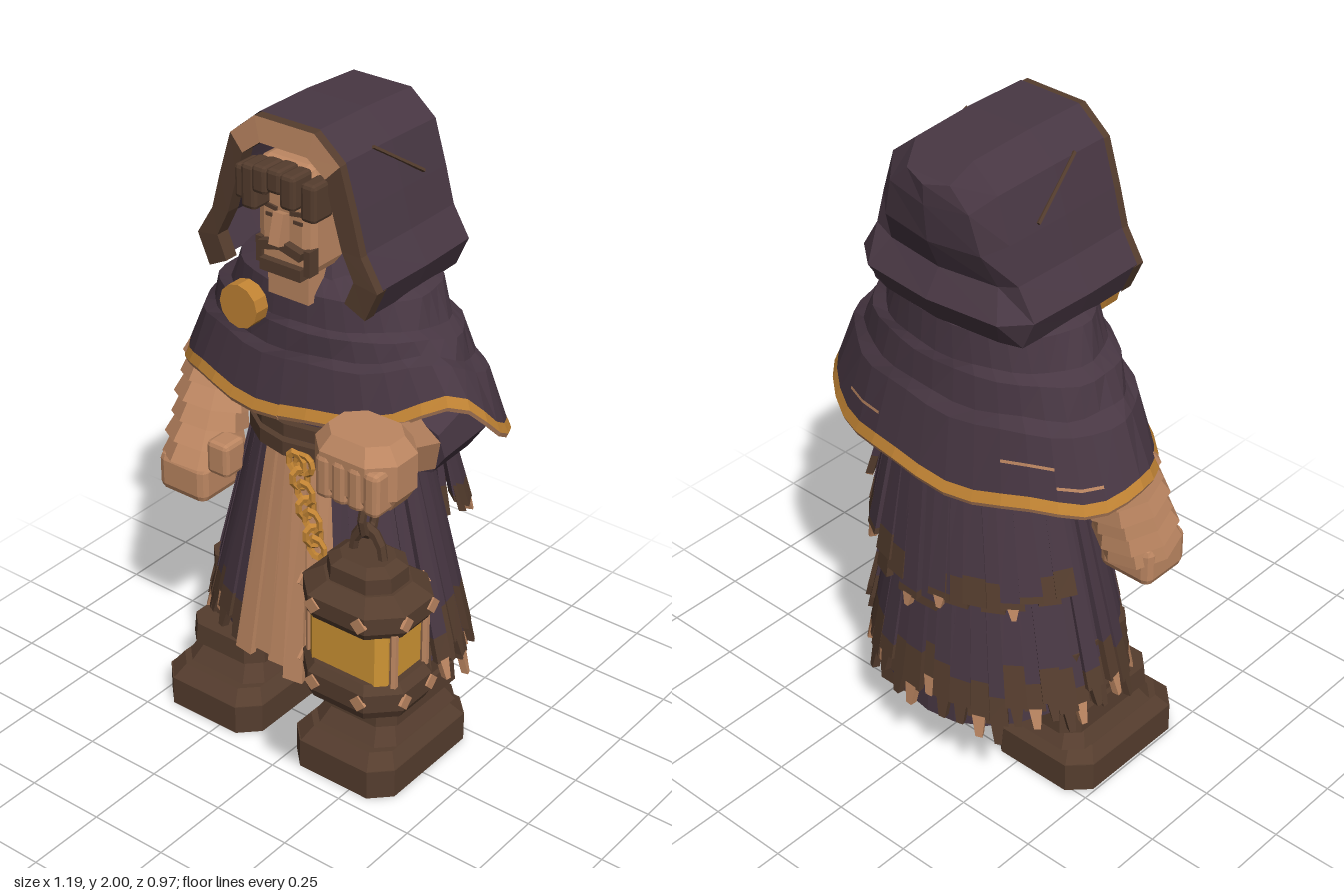
import * as THREE from 'three';
import { mergeGeometries } from 'three/addons/utils/BufferGeometryUtils.js';
import { RoundedBoxGeometry } from 'three/addons/geometries/RoundedBoxGeometry.js';

const mat = (name, color) => new THREE.MeshStandardMaterial({ name, color, flatShading: true, side: THREE.DoubleSide });
const lerp = THREE.MathUtils.lerp;
const CX = -0.055, CZ = -0.14; // body axis

// faceted surface from rows of points: f(i, j) -> [x, y, z]
function grid(rows, cols, f) {
  const pos = [], idx = [];
  for (let i = 0; i <= rows; i++) for (let j = 0; j <= cols; j++) pos.push(...f(i, j));
  for (let i = 0; i < rows; i++) for (let j = 0; j < cols; j++) {
    const a = i * (cols + 1) + j, c = a + cols + 1;
    idx.push(a, c, a + 1, a + 1, c, c + 1);
  }
  const g = new THREE.BufferGeometry();
  g.setAttribute('position', new THREE.Float32BufferAttribute(pos, 3));
  g.setIndex(idx);
  const flat = g.toNonIndexed();
  flat.computeVertexNormals();
  return flat;
}

export function createModel() {
  const model = new THREE.Group();
  const cloth = mat('plumCloth', 0x483743), leather = mat('brownLeather', 0x553d2e), tan = mat('tanSkin', 0xbd8762);
  const gold = mat('gold', 0xc28434), glass = mat('amberGlass', 0xcf9534);
  let seed = 7;
  const rnd = () => (seed = (seed * 16807) % 2147483647) / 2147483647;

  const add = (name, geo, m, x = 0, y = 0, z = 0) => {
    const mesh = new THREE.Mesh(geo, m);
    mesh.name = name;
    mesh.position.set(x, y, z);
    model.add(mesh);
    return mesh;
  };
  const box = (name, m, x, y, z, w, h, d) => add(name, new THREE.BoxGeometry(w, h, d), m, x, y, z);
  const soft = (name, m, x, y, z, w, h, d, r) => add(name, new RoundedBoxGeometry(w, h, d, 1, r), m, x, y, z);
  // chamfered block with half sizes hx, hz at its bottom, tapering upwards
  const octa = (name, m, x, z, y0, y1, hx, hz, taper = 1, cut = 0.45) => {
    const c = cut * hx, u = hx - c, v = hz - c;
    const ring = [[u, hz], [hx, v], [hx, -v], [u, -hz], [-u, -hz], [-hx, -v], [-hx, v], [-u, hz], [u, hz]];
    return add(name, grid(3, 8, (i, j) => {
      const s = [0, taper, 1, 0][i];
      return [ring[j][0] * s, i < 2 ? y1 : y0, ring[j][1] * s];
    }), m, x, 0, z);
  };
  // tapered limb between two points
  const limb = (name, m, p, q, r0, r1, sides = 8) => {
    const a = new THREE.Vector3(...p), b = new THREE.Vector3(...q), d = b.clone().sub(a);
    const mesh = add(name, new THREE.CylinderGeometry(r1, r0, d.length(), sides), m);
    mesh.position.copy(a).addScaledVector(d, 0.5);
    mesh.quaternion.setFromUnitVectors(new THREE.Vector3(0, 1, 0), d.normalize());
    return mesh;
  };

  // boots
  for (const s of [1, -1]) {
    const x = -0.06 + s * 0.25;
    octa('sole', leather, x, -0.033, 0, 0.095, 0.183, 0.233, 1, 0.32);
    octa('bootFoot', leather, x, -0.033, 0.095, 0.135, 0.18, 0.23, 0.84, 0.32);
    octa('bootAnkle', leather, x, -0.06, 0.135, 0.2, 0.148, 0.195, 0.76, 0.32);
    octa('bootCuff', leather, x, -0.07, 0.2, 0.265, 0.14, 0.19, 0.97, 0.32);
    octa('bootShaft', leather, x + s * 0.005, -0.11, 0.265, 0.48, 0.115, 0.145, 1, 0.32);
  }

  // torso, belts and underskirt
  const ring = (name, m, y0, y1, rx, rz, taper = 1) =>
    add(name, new THREE.CylinderGeometry(taper, 1, y1 - y0, 16).scale(rx, 1, rz), m, CX, (y0 + y1) / 2, CZ);
  ring('torso', cloth, 0.93, 1.5, 0.24, 0.24, 0.85);
  ring('upperBelt', leather, 1.06, 1.1, 0.25, 0.255);
  ring('lowerBelt', leather, 1.0, 1.045, 0.258, 0.26);
  const under = [[1.0, 0.23, 0.225], [0.65, 0.31, 0.27], [0.33, 0.38, 0.3], [0.45, 0, 0]];
  add('underskirt', grid(3, 24, (i, j) => {
    const a = j / 24 * Math.PI * 2, [y, rx, rz] = under[i];
    const sag = i === 2 ? 0.065 * (1 - Math.cos(a)) * Math.abs(Math.cos(a)) : 0;
    return [CX + Math.sin(a) * rx, y - sag, CZ + Math.cos(a) * rz];
  }), cloth);

  // pleated skirt strips: cloth, brown hem, frayed tan tip
  const parts = { cloth: [], leather: [], tan: [] };
  const strip = (a, A, B, w, s0, s1, e1 = 1, th = 0.022) => grid(1, 4, (i, j) => {
    const t = i ? s1 : s0, ww = lerp(w * 0.6, w, t) * (i ? e1 : 1);
    const [y, rx, rz] = A.map((v, k) => lerp(v, B[k], t));
    const b = a + (j === 1 || j === 2 ? ww : -ww) / (rx + rz);
    const inn = j === 2 || j === 3 ? th : 0;
    return [CX + Math.sin(b) * (rx - inn), y, CZ + Math.cos(b) * (rz - inn)];
  });
  const N = 46;
  for (let n = 0; n < N; n++) {
    const a = (n + 0.5) / N * Math.PI * 2 - Math.PI, back = (1 - Math.cos(a)) / 2;
    const j = (rnd() - 0.5) * 0.04, isPanel = a > -0.24 && a < 0.48;
    const A = [1.02, 0.25 + j * 0.5, 0.24 + j * 0.4];
    const B = [0.31 - back * 0.09 + rnd() * 0.1, 0.435 + j, 0.335 + j * 0.6];
    const cut = 0.74 + rnd() * 0.14, w = 0.064;
    if (isPanel) {
      parts.tan.push(strip(a, A, B, w, 0, 1.03, 0.9));
    } else {
      parts.cloth.push(strip(a, A, B, w, 0, cut));
      parts.leather.push(strip(a, A, B, w, cut, 0.95));
      parts[n % 3 ? 'leather' : 'tan'].push(strip(a, A, B, w * 0.6, 0.94, 1.03, 0.5));
    }
    // shorter tier over the back
    if (Math.abs(a) > 1.9) {
      const A2 = [1.13, 0.3 + j * 0.5, 0.275 + j * 0.5];
      const B2 = [0.58 + (1 - back) * 0.35 + rnd() * 0.12, 0.41 + j, 0.335 + j * 0.5];
      const edge = n % 5 < 2 ? 0.93 : 0.78;
      parts.cloth.push(strip(a, A2, B2, w * 1.05, 0, edge));
      parts.leather.push(strip(a, A2, B2, w * 1.05, edge, 0.98));
      if (n % 4 === 1) parts.tan.push(strip(a, A2, B2, w * 0.5, 0.97, 1.05, 0.4));
    }
  }
  add('skirtPleats', mergeGeometries(parts.cloth), cloth);
  add('skirtHem', mergeGeometries(parts.leather), leather);
  add('frontPanelAndFrays', mergeGeometries(parts.tan), tan);

  // shoulder cape: [y, half width, front z, back z, share of the hem's rise and fall]
  const levels = [[1.56, 0.18, 0.04, -0.31, 0], [1.51, 0.31, 0.085, -0.365, 0], [1.42, 0.345, 0.09, -0.37, 0.1],
    [1.4, 0.395, 0.1, -0.38, 0.15], [1.33, 0.425, 0.1, -0.39, 0.4], [1.305, 0.465, 0.112, -0.41, 0.5], [1.17, 0.53, 0.134, -0.444, 1]];
  const capePoint = (i, j, drop = 0, out = 0) => {
    const a = j / 36 * Math.PI * 2, [y, rx, zf, zb, k] = levels[i];
    const lift = 0.14 * Math.exp(-(((a - 1.08) / 0.55) ** 2)) - 0.09 * (1 - Math.cos(a)) / 2 + 0.012 * Math.sin(a * 7);
    const fold = 1 + 0.014 * Math.sin(a * 9 + i * 2) * (i > 0 && i < 6 ? 1 : 0);
    const rz = (zf - zb) / 2;
    return [CX + 0.003 + Math.sin(a) * (rx * fold + out), y + k * lift - drop, (zf + zb) / 2 + Math.cos(a) * (rz * fold + out)];
  };
  add('cape', grid(6, 36, (i, j) => capePoint(i, j)), cloth);
  add('capeTrim', grid(1, 36, (i, j) => capePoint(6, j, i * 0.03, i * 0.014)), gold);
  add('capeTrimLower', grid(2, 36, (i, j) => capePoint(6, j, [0.03, 0.044, 0.03][i], [0.014, 0.008, -0.03][i])), tan);
  // worn seams across the lower cape
  for (const [j0, share] of [[14, 0.6], [21, 0.45], [23, 0.75]])
    add('capeSeam', grid(1, 2, (i, j) => {
      const p = capePoint(5, j0 + j, 0, 0.005), q = capePoint(6, j0 + j, 0, 0.005);
      return p.map((v, k) => lerp(v, q[k], share + i * 0.05));
    }), tan);
  const medal = add('medallion', new THREE.CylinderGeometry(0.066, 0.066, 0.05, 12), gold, -0.185, 1.44, 0.122);
  medal.rotation.x = Math.PI / 2;

  // hood: half profile mirrored, swept backwards and closed
  const outer = [[0.27, 1.51], [0.31, 1.6], [0.255, 1.69], [0.225, 1.8], [0.185, 1.93], [0.1, 2.0]];
  const inner = [[0.205, 1.54], [0.235, 1.61], [0.195, 1.69], [0.165, 1.79], [0.14, 1.88], [0.08, 1.925]];
  const mirror = h => [...h, ...h.slice().reverse().map(([x, y]) => [-x, y])];
  const O = mirror(outer), I = mirror(inner);
  const sweep = [[0.075, 1, 1], [-0.12, 1.01, 1], [-0.325, 0.98, 0.98], [-0.385, 0.74, 0.87], [-0.405, 0, 0.84]];
  add('hood', grid(4, 11, (i, j) => {
    const [z, sx, sy] = sweep[i], [x, y] = O[j], row = Math.min(j, 11 - j);
    const pinch = i > 2 ? [0.04, 0, 0.05, 0.01, 0, 0][row] : 0;
    return [CX + x * sx, 1.51 + (y - 1.51) * sy, z + pinch];
  }), cloth);
  // hood trim: inner lip, front face and outer lip
  const trim = (name, m, from, to, r0, r1) => add(name, grid(r1 - r0, to - from, (i, j) => {
    const r = i + r0, [x, y] = (r < 2 ? I : O)[from + j];
    return [CX + x, r < 2 ? y : y - 0.004, r === 1 ? 0.105 : r === 2 ? 0.1 : 0.06];
  }), m);
  trim('hoodTrimLip', leather, 0, 11, 0, 1);
  trim('hoodTrimLeft', leather, 0, 4, 1, 2);
  trim('hoodTrimTop', tan, 4, 7, 1, 2);
  trim('hoodTrimRight', leather, 7, 11, 1, 2);
  trim('hoodTrimEdge', leather, 0, 11, 2, 3);
  for (const s of [1, -1]) // worn slits
    limb('hoodSlit', leather, [CX + s * 0.186, 1.935, -0.04], [CX + s * 0.223, 1.815, -0.22], 0.006, 0.006, 4);

  // head and face
  add('cowl', new THREE.CylinderGeometry(0.1, 0.21, 0.2, 10).scale(1, 1, 0.75), cloth, CX, 1.59, -0.08);
  soft('head', tan, -0.045, 1.74, -0.01, 0.19, 0.32, 0.26, 0.03);
  box('neck', tan, -0.045, 1.55, 0.02, 0.14, 0.12, 0.16);
  const nose = box('nose', tan, -0.04, 1.715, 0.135, 0.035, 0.09, 0.045);
  nose.rotation.x = -0.25;
  for (const s of [1, -1]) {
    box('eyebrow', leather, -0.04 + s * 0.05, 1.765, 0.122, 0.055, 0.012, 0.009).rotation.z = s * 0.15;
    box('eye', leather, -0.04 + s * 0.047, 1.738, 0.121, 0.03, 0.01, 0.006);
    box('moustache', leather, -0.04 + s * 0.035, 1.66, 0.13, 0.075, 0.026, 0.03).rotation.z = -s * 0.25;
    box('beardSide', leather, -0.04 + s * 0.082, 1.63, 0.11, 0.02, 0.075, 0.04);
  }
  box('beard', leather, -0.04, 1.595, 0.12, 0.14, 0.035, 0.045);
  for (const [x, y, h, z] of [[-0.162, 1.82, 0.1, 0.11], [-0.115, 1.83, 0.13, 0.14], [-0.07, 1.865, 0.08, 0.15],
    [-0.025, 1.87, 0.07, 0.145], [0.02, 1.85, 0.1, 0.145], [0.07, 1.825, 0.11, 0.12]])
    soft('hairLock', leather, x, y, z, 0.05, h, 0.085, 0.012);

  // hanging arm with wrapped sleeve
  limb('rightUpperArm', cloth, [-0.32, 1.24, -0.16], [-0.43, 1.08, -0.12], 0.1, 0.1);
  for (let i = 0; i < 6; i++) {
    const y = 1.15 - i * 0.06, z = -0.115 + i * 0.021, x = -0.448 - i * 0.002;
    limb('armWrap', tan, [x, y, z], [x - 0.002, y - 0.066, z + 0.02], 0.1, 0.125 - (i % 2) * 0.006);
  }
  soft('rightHand', tan, -0.465, 0.755, 0.015, 0.18, 0.13, 0.17, 0.025);
  soft('rightThumb', tan, -0.335, 0.86, 0.04, 0.08, 0.11, 0.09, 0.015);

  // raised arm
  limb('leftSleeve', cloth, [0.25, 1.12, -0.21], [0.285, 1.09, -0.03], 0.145, 0.1);
  limb('leftForearm', tan, [0.285, 1.08, -0.06], [0.36, 1.22, 0.24], 0.085, 0.075, 6);
  for (const [y0, y1, r, t] of [[1.13, 1.17, 0.11, 1.2], [1.17, 1.275, 0.135, 1], [1.275, 1.32, 0.135, 0.74]])
    octa('leftHand', tan, 0.368, 0.29, y0, y1, r, r * 0.78, t);
  for (let i = 0; i < 4; i++) soft('finger', tan, 0.305 + i * 0.052, 1.2, 0.36, 0.05, 0.13, 0.08, 0.015);

  // lantern
  const LX = 0.412, LZ = 0.335;
  for (const [y0, y1, r, t] of [[0.54, 0.57, 0.155, 1.1], [0.57, 0.625, 0.172, 1], [0.625, 0.65, 0.172, 0.88],
    [0.8, 0.825, 0.155, 1.1], [0.825, 0.875, 0.172, 1], [0.875, 0.91, 0.172, 0.68], [0.91, 0.955, 0.108, 0.98], [0.955, 0.975, 0.105, 0.7]])
    octa('lanternFrame', leather, LX, LZ, y0, y1, r, r * 0.82, t);
  octa('lanternGlass', glass, LX, LZ, 0.64, 0.81, 0.132, 0.108, 1, 0.2);
  for (const sx of [1, -1]) for (const sz of [1, -1]) {
    limb('lanternPost', tan, [LX + sx * 0.142, 0.64, LZ + sz * 0.07], [LX + sx * 0.142, 0.81, LZ + sz * 0.07], 0.012, 0.012, 6);
    for (const y of [0.598, 0.85]) {
      box('frontStud', tan, LX + sx * 0.078, y, LZ + sz * 0.142, 0.036, 0.036, 0.009).rotation.z = Math.PI / 4;
      box('sideStud', tan, LX + sx * 0.173, y, LZ + sz * 0.058, 0.009, 0.036, 0.036).rotation.x = Math.PI / 4;
    }
  }
  add('lanternHandle', new THREE.TorusGeometry(0.05, 0.014, 6, 6, Math.PI).scale(1, 1.6, 1), leather, LX, 0.97, LZ);
  add('lanternLink', new THREE.TorusGeometry(0.03, 0.012, 6, 8).scale(1, 1.7, 1).rotateY(Math.PI / 2), leather, LX, 1.09, LZ);

  // belt chain
  const links = [[0.01, 1.01], [0.025, 0.965], [0.045, 0.925], [0.05, 0.88], [0.075, 0.845], [0.08, 0.8], [0.095, 0.765]];
  links.forEach(([x, y], i) => {
    const link = add('chainLink', new THREE.TorusGeometry(0.024, 0.01, 5, 8).scale(1, 1.35, 1), gold, x, y, 0.14 + (1 - y) * 0.06);
    link.rotation.set(0, i % 2 ? 1.1 : 0.2, 0.3);
  });
  add('chainRing', new THREE.TorusGeometry(0.03, 0.01, 5, 10), gold, 0.035, 1.01, 0.135);
  return model;
}
